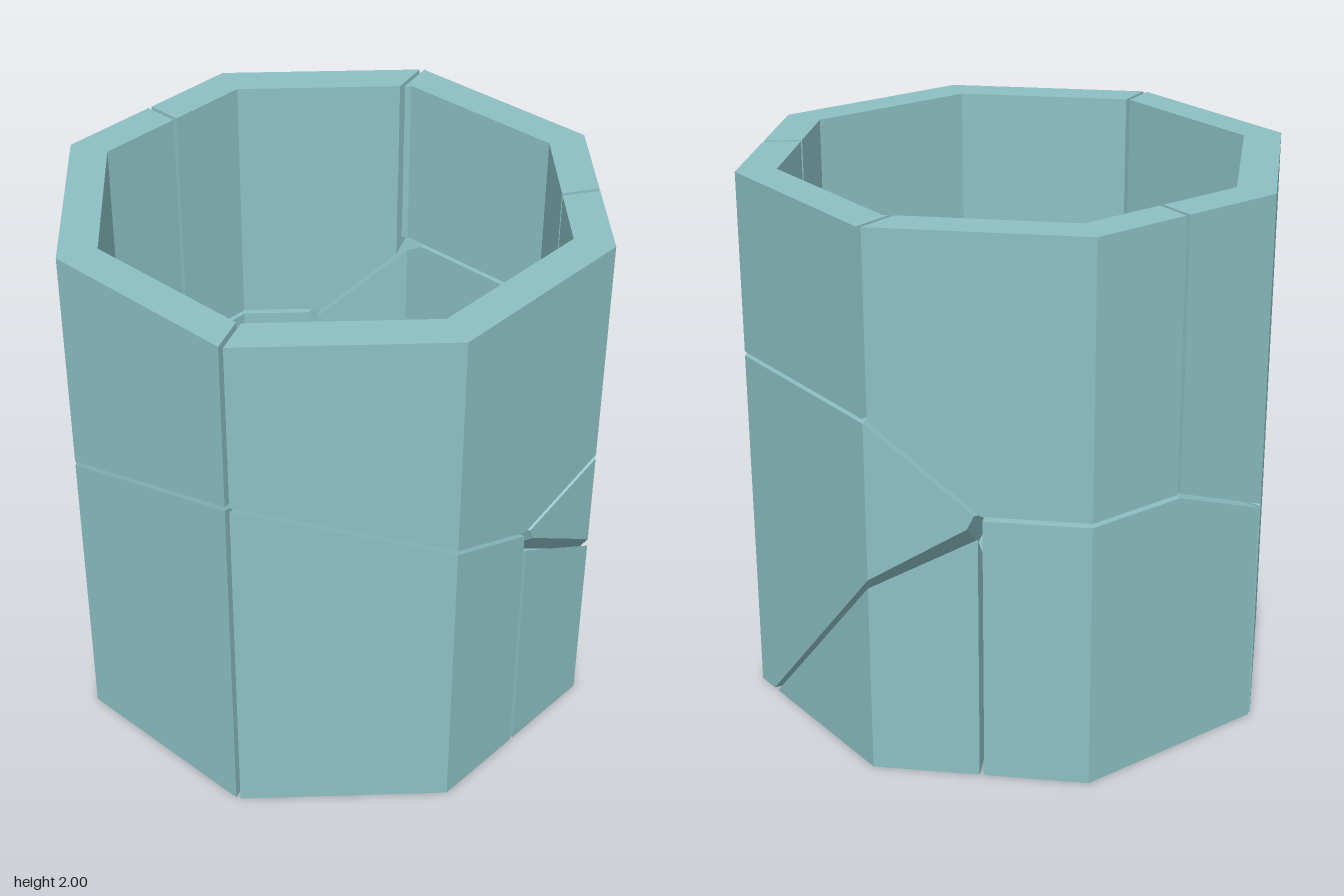
import * as THREE from 'three';

const OUTER = 1, INNER = 0.855, HEIGHT = 2, FLOOR = 0.65, GAP = 0.008;
const V = (x, y, z) => new THREE.Vector3(x, y, z);
// a half-space: its normal points out of the solid
const half = (n, p) => new THREE.Plane().setFromNormalAndCoplanarPoint(n.clone().normalize(), p);

// cut a polygon, keeping what lies behind the plane
function clip(poly, plane) {
  const out = [];
  poly.forEach((a, i) => {
    const b = poly[(i + 1) % poly.length];
    const da = plane.distanceToPoint(a), db = plane.distanceToPoint(b);
    if (da <= 1e-7) out.push(a);
    if ((da < -1e-7 && db > 1e-7) || (da > 1e-7 && db < -1e-7)) out.push(a.clone().lerp(b, da / (da - db)));
  });
  return out;
}

// face of a convex solid that lies on one of its planes
function face(plane, others) {
  const n = plane.normal, c = plane.coplanarPoint(V(0, 0, 0));
  const u = (Math.abs(n.y) > 0.9 ? V(1, 0, 0) : V(0, 1, 0)).cross(n).normalize();
  const v = n.clone().cross(u);
  let poly = [[-9, -9], [9, -9], [9, 9], [-9, 9]].map(([s, t]) => c.clone().addScaledVector(u, s).addScaledVector(v, t));
  for (const o of others) if (o !== plane && poly.length) poly = clip(poly, o);
  return poly;
}

// seams that split the pot; each shard collects its bounding half-spaces
const shards = {};
function bound(name, n, p) {
  (shards[name] ??= []).push(half(n, p.clone().addScaledVector(n.clone().normalize(), -GAP)));
}
// sloping seam y = a + bx + cz
function slopeUnder(name, a, b, c) { bound(name, V(-b, 1, -c), V(0, a, 0)); }
function slopeOver(name, a, b, c) { bound(name, V(b, -1, c), V(0, a, 0)); }
function slope(below, above, a, b, c) {
  slopeUnder(below, a, b, c);
  slopeOver(above, a, b, c);
}
// upright seam running outward from (x, z) along (dx, dz)
function upright(before, after, dx, dz, x = 0, z = 0) {
  bound(before, V(-dz, 0, dx), V(x, 0, z));
  bound(after, V(dz, 0, -dx), V(x, 0, z));
}

function defineSeams() {
  // lower shards
  upright('lowerFrontShard', 'lowerSideShard', -1, 1);
  upright('lowerSideShard', 'lowerBackShard', -1, -1);
  upright('lowerFrontCornerShard', 'lowerFrontShard', 0.35, 0.86);
  upright('lowerBackShard', 'lowerBackCornerShard', 0.35, -0.86);
  upright('lowerBackCornerShard', 'lowerFrontCornerShard', 1, 0);
  // middle shard, wedged between the lower ones
  slope('lowerSideShard', 'middleShard', 0, -3.42, 0);
  for (const [side, s] of [['Front', 1], ['Back', -1]]) {
    slope(`lower${side}Shard`, 'middleShard', 0, -1.58, 1.85 * s);
    slopeOver('middleShard', 0.121, -0.229, 1.09 * s);
    slopeUnder(`lower${side}CornerShard`, 0.03, -0.14, 1.12 * s);
  }
  // upper shards resting on the rest
  slope('middleShard', 'upperFrontShard', 1.43, 0.108, -0.54);
  slope('middleShard', 'upperLeftShard', 1.33, 0, 0);
  slope('middleShard', 'upperBackShard', 1.005, 0.792, 0.327);
  slope('lowerFrontShard', 'upperFrontShard', 1, -0.36, 0.15);
  slope('lowerSideShard', 'upperRightShard', 1, -0.15, 0.36);
  slope('lowerBackShard', 'upperBackShard', 1, 0, 0);
  slope('lowerBackShard', 'upperRightShard', 1, 0.36, -0.15);
  upright('upperFrontShard', 'upperRightShard', -1, 1);
  upright('upperLeftShard', 'upperFrontShard', 0.14, 0.025, 0.85, 0.36);
  upright('upperBackShard', 'upperLeftShard', 0.14, -0.1, 0.7, -0.707);
  upright('upperRightShard', 'upperBackShard', -0.35, -0.86);
}

export function createModel() {
  if (!Object.keys(shards).length) defineSeams();
  const group = new THREE.Group();
  group.name = 'brokenOctagonalPot';
  const material = new THREE.MeshStandardMaterial({ color: 0x8cc0c4, flatShading: true });

  // pot planes: eight wall sectors around a floor block
  const bottom = half(V(0, -1, 0), V(0, 0, 0));
  const rim = half(V(0, 1, 0), V(0, HEIGHT, 0));
  const floorTop = half(V(0, 1, 0), V(0, FLOOR, 0));
  const aboveFloor = half(V(0, -1, 0), V(0, FLOOR, 0));
  const apothem = Math.cos(Math.PI / 8);
  const sectors = [], coreSides = [];
  for (let k = 0; k < 8; k++) {
    const a0 = k * Math.PI / 4, a1 = a0 + Math.PI / 4, m = (a0 + a1) / 2;
    const n = V(Math.cos(m), 0, Math.sin(m)), o = V(0, 0, 0);
    const outside = half(n, n.clone().multiplyScalar(OUTER * apothem));
    const inside = half(n.clone().negate(), n.clone().multiplyScalar(INNER * apothem));
    coreSides.push(half(n, n.clone().multiplyScalar(INNER * apothem)));
    const sides = [half(V(Math.sin(a0), 0, -Math.cos(a0)), o), half(V(-Math.sin(a1), 0, Math.cos(a1)), o)];
    sectors.push({ outside, inside, sides });
  }

  for (const [name, seams] of Object.entries(shards)) {
    const pos = [];
    const emit = (poly) => {
      for (let i = 1; i + 1 < poly.length; i++)
        for (const p of [poly[0], poly[i], poly[i + 1]]) pos.push(p.x, p.y, p.z);
    };
    // floor block
    const core = [bottom, floorTop, ...coreSides, ...seams];
    for (const p of [bottom, floorTop, ...seams]) emit(face(p, core));
    // wall sectors; the inside face shows only above the floor
    for (const { outside, inside, sides } of sectors) {
      const wall = [bottom, rim, outside, inside, ...sides, ...seams];
      for (const p of [bottom, rim, outside, ...seams]) emit(face(p, wall));
      emit(face(inside, [...wall, aboveFloor]));
    }
    const geometry = new THREE.BufferGeometry();
    geometry.setAttribute('position', new THREE.Float32BufferAttribute(pos, 3));
    geometry.computeVertexNormals();
    const mesh = new THREE.Mesh(geometry, material);
    mesh.name = name;
    group.add(mesh);
  }
  return group;
}
